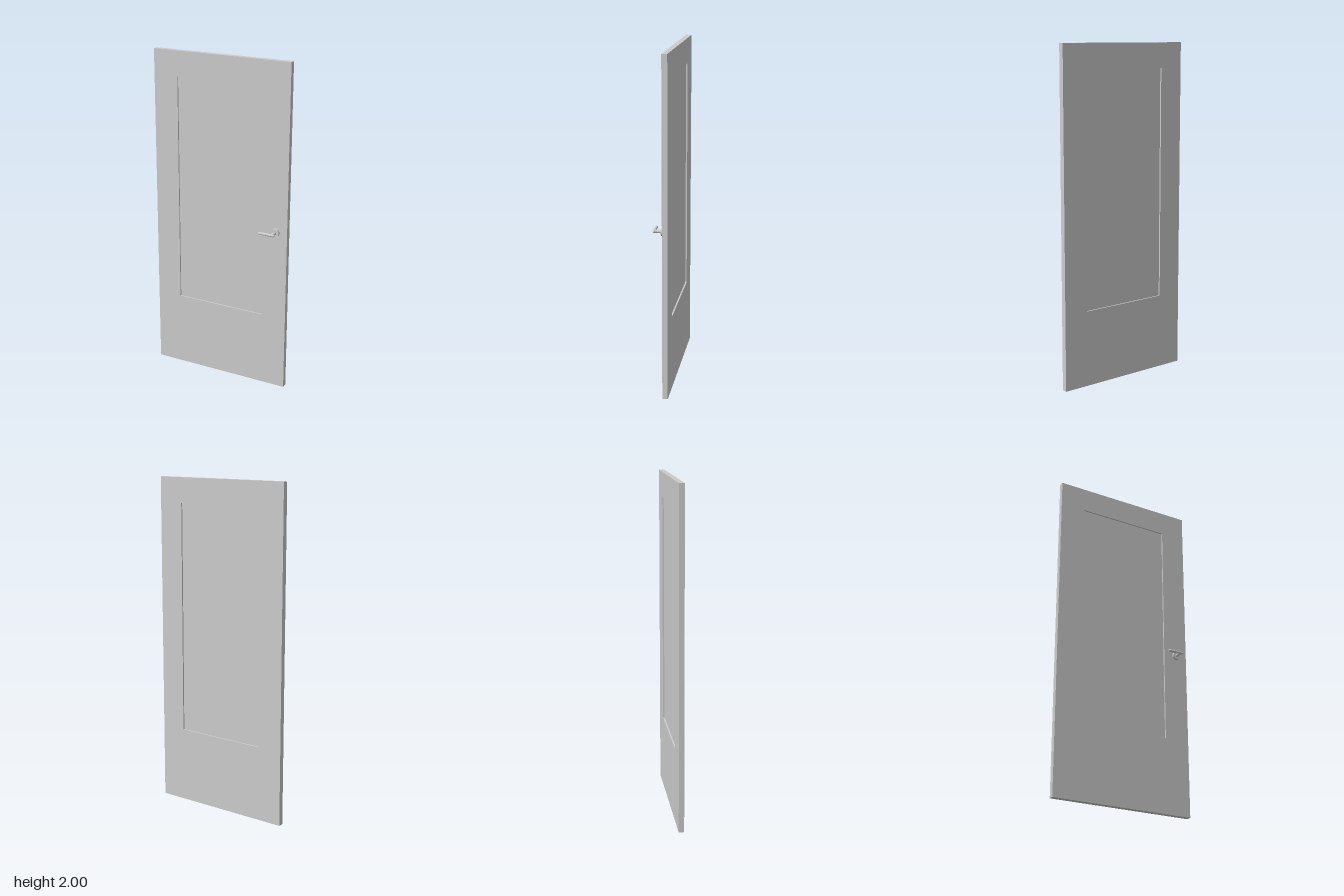
import * as THREE from 'three';

const W = 0.876, H = 2, BACK = -0.048, FRONT = -0.016;

export function createModel() {
  const group = new THREE.Group();
  const grey = new THREE.MeshStandardMaterial({ color: 0xcccccc });
  const add = (name, geometry, x, y, z) => {
    const mesh = new THREE.Mesh(geometry, grey);
    mesh.name = name;
    mesh.position.set(x, y, z);
    group.add(mesh);
    return mesh;
  };

  // Door frame with a rectangular opening
  const panel = { x: 0.283, bottom: 0.455, top: 1.85 };
  const outline = new THREE.Shape([
    new THREE.Vector2(-W / 2, 0), new THREE.Vector2(W / 2, 0),
    new THREE.Vector2(W / 2, H), new THREE.Vector2(-W / 2, H),
  ]);
  outline.holes.push(new THREE.Path([
    new THREE.Vector2(-panel.x, panel.bottom), new THREE.Vector2(-panel.x, panel.top),
    new THREE.Vector2(panel.x, panel.top), new THREE.Vector2(panel.x, panel.bottom),
  ]));
  const depth = FRONT - BACK;
  add('doorFrame', new THREE.ExtrudeGeometry(outline, { depth, bevelEnabled: false }), 0, 0, BACK);

  // Inset panel, recessed on both faces
  const panelHeight = panel.top - panel.bottom;
  add('insetPanel', new THREE.BoxGeometry(panel.x * 2, panelHeight, depth - 0.018),
    0, (panel.top + panel.bottom) / 2, (FRONT + BACK) / 2);

  // Handle on the front: round plate, stem and lever with rounded ends
  const hx = 0.365, hy = 1, leverZ = 0.04, r = 0.008;
  add('handlePlate', new THREE.CylinderGeometry(0.0245, 0.0245, 0.015, 32), hx, hy, FRONT + 0.0075)
    .rotation.x = Math.PI / 2;
  add('handleStem', new THREE.CylinderGeometry(0.0095, 0.0095, leverZ - FRONT - 0.005, 24),
    hx, hy, (leverZ + FRONT - 0.005) / 2).rotation.x = Math.PI / 2;
  const x0 = 0.279, x1 = 0.384;
  add('handleLever', new THREE.CapsuleGeometry(r, x1 - x0 - 2 * r, 8, 24), (x0 + x1) / 2, hy, leverZ)
    .rotation.z = Math.PI / 2;

  return group;
}
